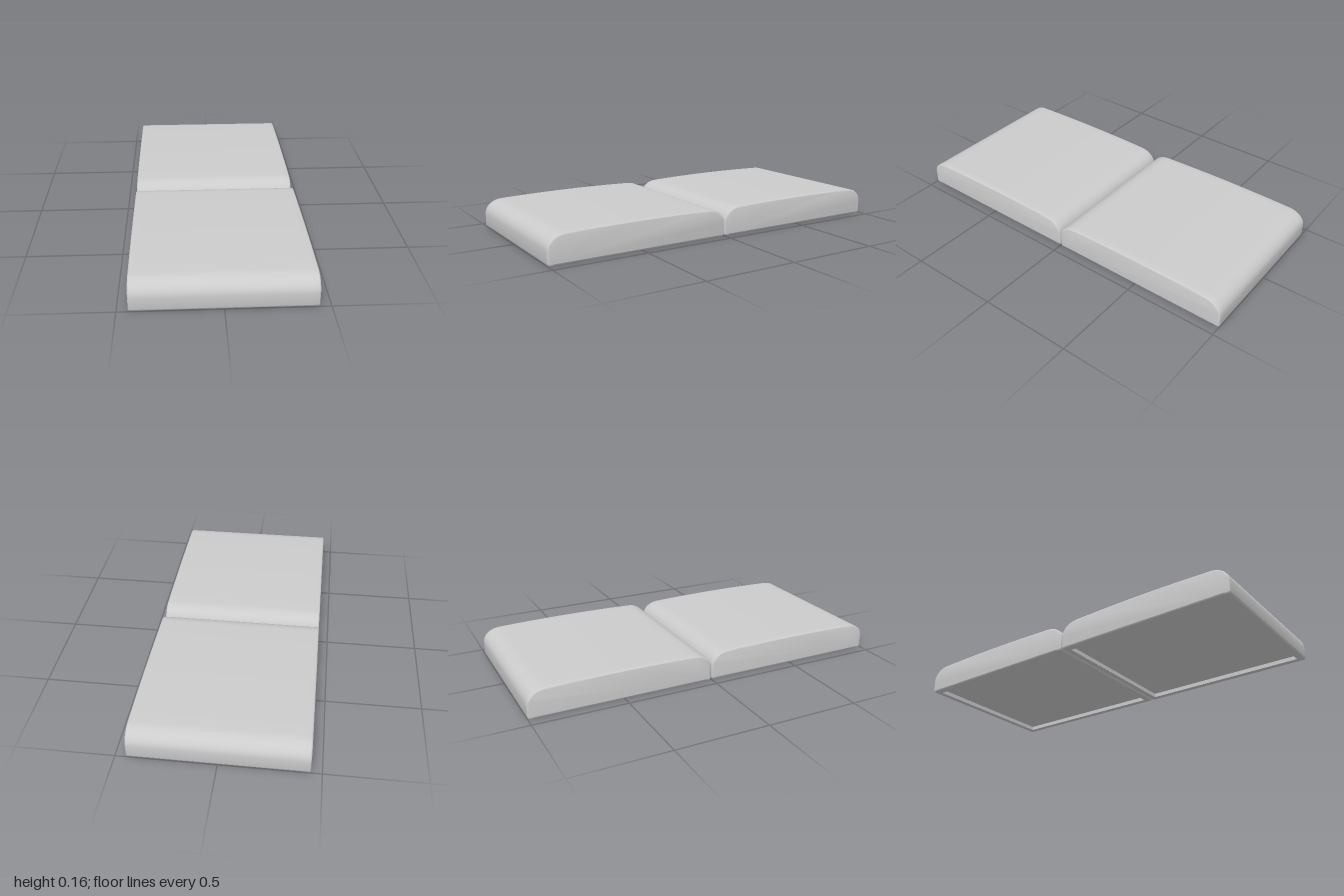
import * as THREE from 'three';
import { toCreasedNormals } from 'three/addons/utils/BufferGeometryUtils.js';

const HALF_X = 0.446, HALF_Z = 0.499, EDGE = 0.008;
const RIM = 0.038, RECESS = 0.022;

// Closed (z, y) outline, inset by d, with its underside hollowed by depth
function profile(d, depth) {
  const pts = [];
  const hz = HALF_Z - d, rz = 0.1 - d, ry = 0.078 - d, top = 0.15 - d;
  const side = [];
  // small rounded lower edge
  for (let i = 0; i <= 3; i++) {
    const a = (i / 3) * Math.PI / 2;
    side.push([hz - 0.01 + 0.01 * Math.sin(a), d + 0.01 - 0.01 * Math.cos(a)]);
  }
  // large rounded upper edge
  for (let i = 0; i <= 10; i++) {
    const a = (i / 10) * Math.PI / 2;
    side.push([hz - rz + rz * Math.cos(a), top - ry + ry * Math.sin(a)]);
  }
  pts.push(...side);
  // gently domed top
  const span = hz - rz;
  for (let i = 1; i < 12; i++) {
    const u = 1 - i / 6;
    pts.push([u * span, top + 0.007 * (1 - u * u)]);
  }
  pts.push(...side.reverse().map(([z, y]) => [-z, y]));
  // recessed underside
  const rz2 = HALF_Z - RIM;
  pts.push([-rz2, d], [-rz2, d + depth], [rz2, d + depth], [rz2, d]);
  return pts;
}

function padGeometry() {
  // Cross-sections along x: rounded end, rim, recess, rim, rounded end
  const half = [];
  for (let i = 0; i <= 3; i++) {
    const a = (i / 3) * Math.PI / 2;
    half.push([HALF_X - EDGE + EDGE * Math.cos(a), EDGE * (1 - Math.sin(a)), 0]);
  }
  half.push([HALF_X - RIM, 0, 0], [HALF_X - RIM, 0, RECESS]);
  const stations = [...half.map(([x, d, r]) => [-x, d, r]), ...half.slice().reverse()];
  const rings = stations.map(([x, d, r]) =>
    profile(d, r).map(([z, y]) => new THREE.Vector3(x, y, z)));

  const out = [];
  const tri = (a, b, c) => {
    const area = b.clone().sub(a).cross(c.clone().sub(a)).length();
    if (area > 1e-9) for (const p of [a, b, c]) out.push(p.x, p.y, p.z);
  };
  const n = rings[0].length;
  for (let i = 0; i < rings.length - 1; i++) {
    for (let j = 0; j < n; j++) {
      const k = (j + 1) % n;
      tri(rings[i][j], rings[i + 1][j], rings[i][k]);
      tri(rings[i + 1][j], rings[i + 1][k], rings[i][k]);
    }
  }
  // end caps
  const first = rings[0], last = rings[rings.length - 1];
  for (let j = 1; j < n - 1; j++) {
    tri(first[0], first[j], first[j + 1]);
    tri(last[0], last[j + 1], last[j]);
  }
  const geo = new THREE.BufferGeometry();
  geo.setAttribute('position', new THREE.Float32BufferAttribute(out, 3));
  return toCreasedNormals(geo, 0.65);
}

export function createModel() {
  const group = new THREE.Group();
  const material = new THREE.MeshStandardMaterial({ color: 0xcccccc });
  const geometry = padGeometry();
  // two matching pads, end to end
  for (const [name, z] of [['frontPad', 0.501], ['backPad', -0.501]]) {
    const pad = new THREE.Mesh(geometry, material);
    pad.name = name;
    pad.position.z = z;
    group.add(pad);
  }
  return group;
}
